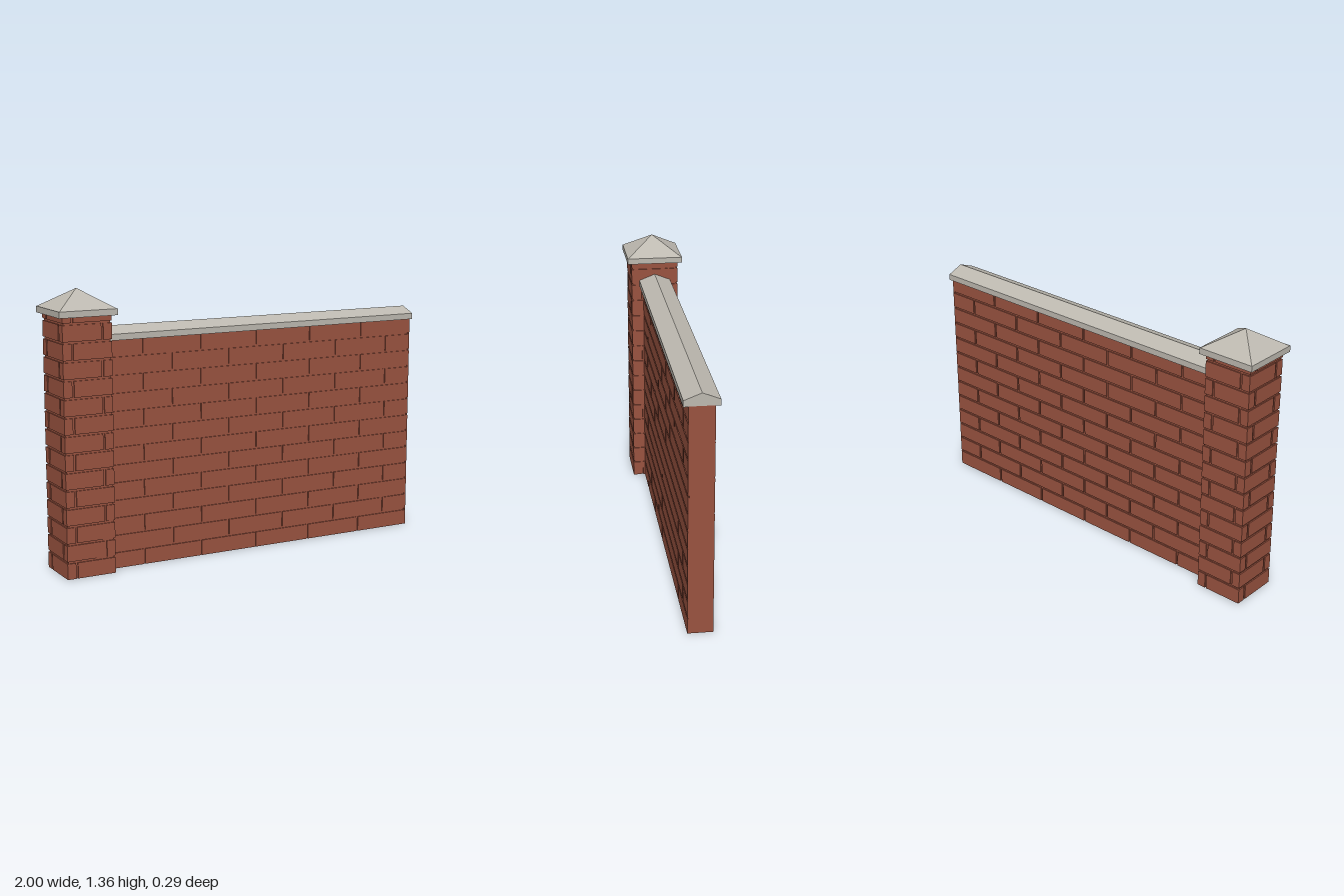
import * as THREE from 'three';

const brick = new THREE.MeshStandardMaterial({ color: 0x9a5340 });
brick.name = 'red brick';
const stone = new THREE.MeshStandardMaterial({ color: 0xbdb9b0 });
stone.name = 'pale stone';

const PITCH = 0.0867, JOINT = 0.01, DEPTH = 0.006;
const PILLAR_X = -0.855, PILLAR_H = 1.24, PILLAR_R = 0.123;
const WALL_L = -0.735, WALL_R = 1, WALL_H = 1.115, WALL_Z = 0.06;

function add(parent, name, geometry, material, x = 0, y = 0, z = 0) {
  const mesh = new THREE.Mesh(geometry, material);
  mesh.name = name;
  mesh.position.set(x, y, z);
  parent.add(mesh);
  return mesh;
}

// Plan outline; each side carries the notches for its upright joints.
// corners run anticlockwise, joints[i] holds distances along side i
function coursePlan(corners, joints) {
  const points = [];
  corners.forEach((a, i) => {
    const dir = corners[(i + 1) % 4].clone().sub(a).normalize();
    const inward = new THREE.Vector2(-dir.y, dir.x).multiplyScalar(DEPTH);
    const at = (d) => a.clone().addScaledVector(dir, d);
    points.push(a);
    for (const d of joints[i]) {
      const p = at(d - JOINT / 2), q = at(d + JOINT / 2);
      points.push(p, p.clone().add(inward), q.clone().add(inward), q);
    }
  });
  return new THREE.Shape(points);
}

function rectangle(x0, x1, z) {
  return [[x0, -z], [x1, -z], [x1, z], [x0, z]].map(([x, y]) => new THREE.Vector2(x, y));
}

// Stacks the courses of one block, leaving level joints between them
function addCourses(parent, name, height, planOf) {
  for (let i = 0; i * PITCH < height - 0.005; i++) {
    const y = i * PITCH;
    const h = Math.min(PITCH - JOINT, height - y);
    const geo = new THREE.ExtrudeGeometry(planOf(i), { depth: h, bevelEnabled: false });
    geo.rotateX(-Math.PI / 2);
    add(parent, name, geo, brick, 0, y, 0);
  }
}

export function createModel() {
  const model = new THREE.Group();
  model.name = 'brickWall';

  // Pillar with one offset joint per side, swapping ends every course
  const pillar = new THREE.Group();
  pillar.name = 'pillar';
  pillar.position.x = PILLAR_X;
  model.add(pillar);
  const core = 2 * (PILLAR_R - DEPTH);
  add(pillar, 'pillarMortar', new THREE.BoxGeometry(core, PILLAR_H - 0.002, core), brick, 0, PILLAR_H / 2, 0);
  addCourses(pillar, 'pillarCourse', PILLAR_H, (i) => {
    const d = PILLAR_R + (i % 2 ? 0.075 : -0.075);
    return coursePlan(rectangle(-PILLAR_R, PILLAR_R, PILLAR_R), [[d], [d], [d], [d]]);
  });

  // Pillar cap: square slab and pyramid
  add(pillar, 'capSlab', new THREE.BoxGeometry(0.29, 0.03, 0.29), stone, 0, 1.255, 0);
  const pyramid = new THREE.ConeGeometry(0.142 * Math.SQRT2, 0.09, 4).toNonIndexed();
  pyramid.rotateY(Math.PI / 4);
  pyramid.computeVertexNormals();
  add(pillar, 'capPyramid', pyramid, stone, 0, 1.315, 0);

  // Wall in running bond, measured from the free end
  const wall = new THREE.Group();
  wall.name = 'wall';
  model.add(wall);
  const length = WALL_R - WALL_L;
  add(wall, 'wallMortar', new THREE.BoxGeometry(length, WALL_H - 0.002, 2 * (WALL_Z - DEPTH)), brick,
    (WALL_L + WALL_R) / 2, WALL_H / 2, 0);
  addCourses(wall, 'wallCourse', WALL_H, (i) => {
    const back = [];
    for (let d = i % 2 ? 0.155 : 0.31; d < length - 0.03; d += 0.31) back.push(d);
    const front = back.map((d) => length - d).reverse();
    return coursePlan(rectangle(WALL_L, WALL_R, WALL_Z), [front, [], back, []]);
  });

  // Flat end face closing the level joints
  add(wall, 'wallEnd', new THREE.BoxGeometry(0.008, WALL_H - 0.002, 2 * WALL_Z - 0.001), brick,
    WALL_R - 0.0045, WALL_H / 2, 0);

  // Ridged coping along the wall top
  const profile = new THREE.Shape([[-0.082, 1.113], [0.082, 1.113], [0.082, 1.143], [0, 1.175], [-0.082, 1.143]]
    .map(([x, y]) => new THREE.Vector2(x, y)));
  const coping = new THREE.ExtrudeGeometry(profile, { depth: length, bevelEnabled: false });
  coping.rotateY(Math.PI / 2);
  add(wall, 'coping', coping, stone, WALL_L, 0, 0);

  return model;
}
